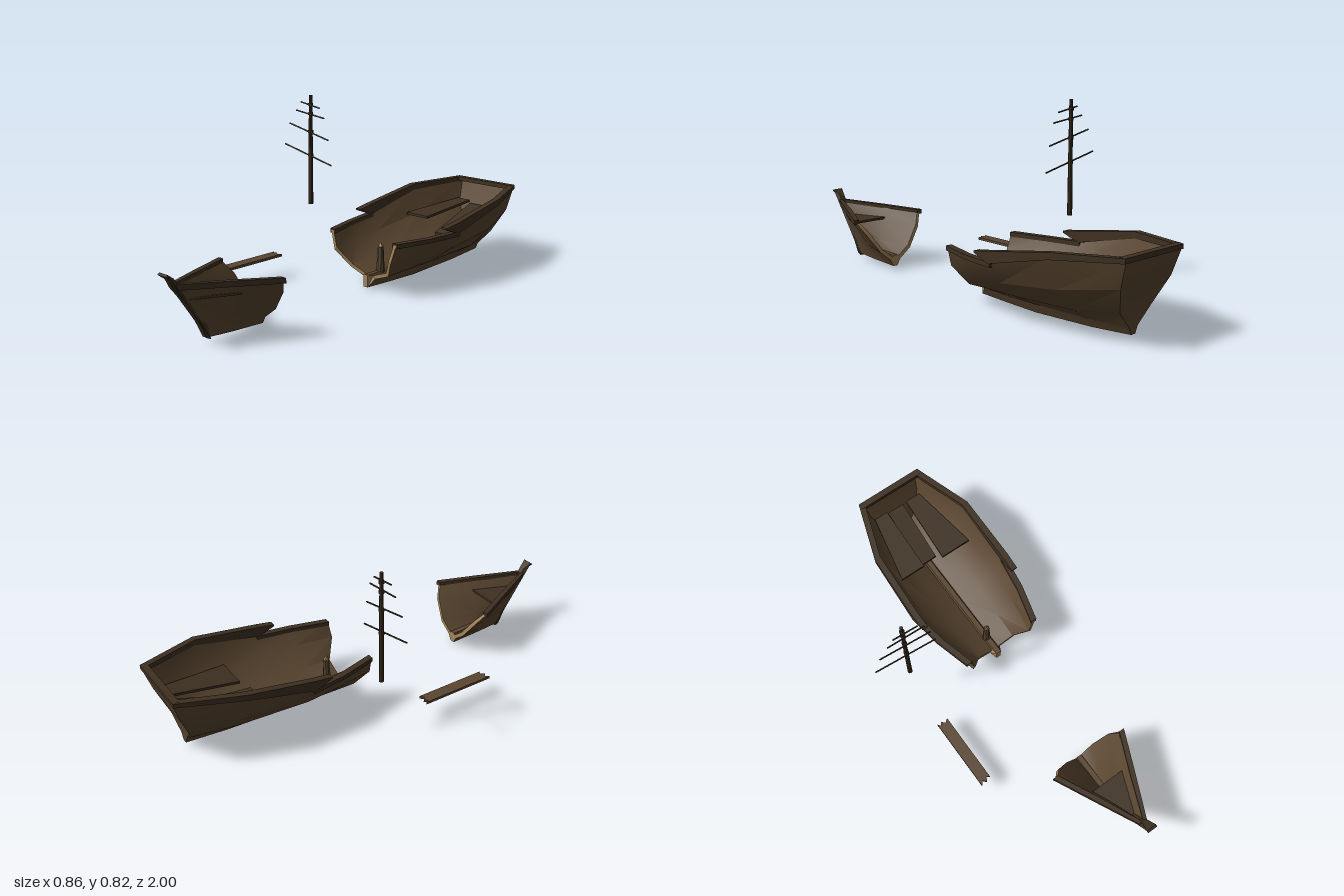
import * as THREE from 'three';
import { toCreasedNormals } from 'three/addons/utils/BufferGeometryUtils.js';

const CX = 0.157; // centreline of the wrecked hull
const mat = (color) => new THREE.MeshStandardMaterial({ color, side: THREE.DoubleSide });
const wood = mat(0x5a4630), dark = mat(0x3f3122), raw = mat(0xa5855a);

function add(parent, name, geo, material) {
  const mesh = new THREE.Mesh(toCreasedNormals(geo, 0.5), material);
  mesh.name = name;
  parent.add(mesh);
  return mesh;
}

// Geometry from a list of quads, each with four [x, y, z] corners
function quadGeo(quads) {
  const pos = [];
  for (const [a, b, c, d] of quads) pos.push(...a, ...b, ...c, ...a, ...c, ...d);
  const g = new THREE.BufferGeometry();
  g.setAttribute('position', new THREE.Float32BufferAttribute(pos, 3));
  return g;
}

// Skin consecutive sections; closed sections wrap around and get end caps if four-sided
function skin(sections, closed) {
  const quads = [];
  const n = sections[0].length;
  for (let s = 0; s + 1 < sections.length; s++) {
    const a = sections[s], b = sections[s + 1];
    for (let i = 0; i < (closed ? n : n - 1); i++) {
      const j = (i + 1) % n;
      quads.push([a[i], a[j], b[j], b[i]]);
    }
  }
  if (closed && n === 4) quads.push(sections[0].slice().reverse(), sections[sections.length - 1]);
  return quadGeo(quads);
}

// Half section rows [halfWidth, y, z], from rail down to keel, mirrored to a full section
const mirrorRows = (rows) => [
  ...rows.map(([h, y, z]) => [CX - h, y, z]),
  ...rows.slice().reverse().map(([h, y, z]) => [CX + h, y, z]),
];
const innerRows = (rows) => rows.map(([h, y, z], i) =>
  i === 0 ? [Math.max(h - 0.014, 0.004), y, z]
    : i === 4 ? [h, rows[3][1] + 0.022, z]
      : [Math.max(h - 0.012, 0.004), y + 0.014, z]);

// Shell with outer and inner planking, and raw timber on the broken end
function hullShell(parent, stations) {
  const outer = stations.map(mirrorRows);
  const inner = stations.map((r) => mirrorRows(innerRows(r)));
  add(parent, 'outerPlanking', skin(outer), wood);
  add(parent, 'innerPlanking', skin(inner.map((s) => s.slice().reverse())), wood);
  add(parent, 'brokenTimber', skin([outer[0], inner[0]]), raw);
  add(parent, 'sheerEdges', quadGeo([0, 9].flatMap((k) => outer.slice(1).map((o, s) =>
    [outer[s][k], o[k], inner[s + 1][k], inner[s][k]]))), wood);
}

// Rail pair from rows [halfWidth, bottom, top, z]
function rails(parent, name, rows, width) {
  for (const side of [-1, 1]) {
    add(parent, name, skin(rows.map(([h, b, t, z]) => {
      const o = CX + side * h, i = CX + side * Math.max(h - width, 0);
      return [[o, b, z], [o, t, z], [i, t, z], [i, b, z]];
    }), true), dark);
  }
}

// Flat board: outline of [x, z] points, height as a function of z
function board(parent, name, outline, thick, height, material) {
  const shape = new THREE.Shape(outline.map(([x, z]) => new THREE.Vector2(x, -z)));
  const g = new THREE.ExtrudeGeometry(shape, { depth: thick, bevelEnabled: false });
  g.rotateX(-Math.PI / 2);
  const p = g.attributes.position;
  for (let i = 0; i < p.count; i++) p.setY(i, p.getY(i) + height(p.getZ(i)));
  g.computeVertexNormals();
  return add(parent, name, g, material);
}

// Round bar between two points
function bar(parent, name, a, b, r0, r1, sides, material) {
  const va = new THREE.Vector3(...a), vb = new THREE.Vector3(...b);
  const d = vb.clone().sub(va);
  const mesh = add(parent, name, new THREE.CylinderGeometry(r1, r0, d.length(), sides), material);
  mesh.position.copy(va).add(vb).multiplyScalar(0.5);
  mesh.quaternion.setFromUnitVectors(new THREE.Vector3(0, 1, 0), d.normalize());
}

function sternWreck() {
  const g = new THREE.Group();
  g.name = 'sternWreck';
  const at = (z, rows) => rows.map(([h, y]) => [h, y, z]);
  const transom = [[0.16, 0.35, -1], [0.145, 0.24, -0.965], [0.09, 0.13, -0.92],
    [0.025, 0.06, -0.91], [0.012, 0.03, -0.91]];
  hullShell(g, [
    [[0.19, 0.245, -0.08], [0.165, 0.16, -0.075], [0.11, 0.08, -0.125], [0.03, 0.05, -0.13], [0.012, 0.015, -0.1]],
    at(-0.25, [[0.235, 0.245], [0.195, 0.163], [0.114, 0.086], [0.03, 0.046], [0.012, 0.009]]),
    at(-0.42, [[0.262, 0.25], [0.215, 0.165], [0.117, 0.09], [0.03, 0.045], [0.012, 0.004]]),
    at(-0.72, [[0.253, 0.335], [0.212, 0.2], [0.12, 0.105], [0.03, 0.05], [0.012, 0.015]]),
    transom,
  ]);
  add(g, 'transom', skin([transom.map(([h, y, z]) => [CX - h, y, z]),
    transom.map(([h, y, z]) => [CX + h, y, z])]), wood);
  rails(g, 'waistRail', [[0.197, 0.232, 0.252, -0.08], [0.243, 0.233, 0.252, -0.25],
    [0.269, 0.236, 0.256, -0.42]], 0.03);
  rails(g, 'quarterRail', [[0.268, 0.28, 0.288, -0.33], [0.271, 0.25, 0.3, -0.41],
    [0.262, 0.322, 0.35, -0.72], [0.166, 0.342, 0.362, -1]], 0.03);
  add(g, 'transomRail', new THREE.BoxGeometry(0.33, 0.02, 0.03), dark).position.set(CX, 0.352, -0.985);

  // Remains of the after deck
  const slope = (front, rise) => (z) => front + rise * (-z - 0.615);
  board(g, 'deckLeft', [[-0.035, -0.615], [0.09, -0.615], [0.1, -0.94], [0.03, -0.94]], 0.012, slope(0.22, 0.09), dark);
  board(g, 'deckRight', [[0.195, -0.615], [0.35, -0.615], [0.285, -0.94], [0.21, -0.94]], 0.012, slope(0.19, 0.15), dark);
  board(g, 'fallenDeckPlank', [[0.105, -0.66], [0.185, -0.66], [0.19, -0.94], [0.105, -0.94]], 0.012, slope(0.12, 0.35), dark);

  // Snapped mast foot
  bar(g, 'mastStump', [CX, 0.05, -0.2], [CX, 0.18, -0.2], 0.02, 0.013, 8, wood);
  bar(g, 'stumpSplinter', [CX, 0.18, -0.2], [CX - 0.004, 0.2, -0.2], 0.013, 0.004, 5, raw);
  return g;
}

function bowWreck() {
  const g = new THREE.Group();
  g.name = 'bowWreck';
  hullShell(g, [
    [[0.188, 0.245, 0.575], [0.15, 0.18, 0.54], [0.085, 0.09, 0.522], [0.028, 0.045, 0.525], [0.012, 0.015, 0.525]],
    [[0.105, 0.255, 0.75], [0.08, 0.18, 0.72], [0.042, 0.095, 0.69], [0.02, 0.048, 0.68], [0.012, 0.022, 0.68]],
    [[0.012, 0.262, 0.945], [0.012, 0.19, 0.89], [0.012, 0.1, 0.835], [0.012, 0.05, 0.81], [0.01, 0.03, 0.8]],
  ]);
  rails(g, 'bowRail', [[0.197, 0.232, 0.254, 0.57], [0.113, 0.242, 0.265, 0.75], [0.018, 0.252, 0.275, 0.95]], 0.026);
  board(g, 'foredeck', [[0.055, 0.71], [0.259, 0.71], [0.175, 0.89], [0.139, 0.89]], 0.01, () => 0.2, dark);

  // Curved stem post with a flared head
  const side = [[0.79, 0.02], [0.81, 0.03], [0.845, 0.1], [0.91, 0.2], [0.96, 0.262], [0.975, 0.295], [1, 0.315],
    [0.99, 0.322], [0.955, 0.298], [0.935, 0.262], [0.875, 0.19], [0.81, 0.09]];
  const stem = new THREE.ExtrudeGeometry(new THREE.Shape(side.map((p) => new THREE.Vector2(...p))),
    { depth: 0.026, bevelEnabled: false });
  stem.translate(0, 0, -0.013).rotateY(-Math.PI / 2);
  const p = stem.attributes.position;
  for (let i = 0; i < p.count; i++) if (p.getY(i) > 0.31) p.setX(i, p.getX(i) * 1.9);
  stem.computeVertexNormals();
  add(g, 'stemPost', stem, dark).position.x = CX;
  return g;
}

function floatingMast() {
  const g = new THREE.Group();
  g.name = 'floatingMast';
  const x = -0.273, z = -0.19;
  bar(g, 'lowerMast', [x, 0.307, z], [x, 0.56, z], 0.0115, 0.01, 8, dark);
  bar(g, 'upperMast', [x, 0.56, z], [x, 0.822, z], 0.01, 0.008, 8, dark);
  const yards = [[-0.433, 0.577, -0.13, 0.511], [-0.4, 0.679, -0.15, 0.626],
    [-0.355, 0.745, -0.175, 0.724], [-0.325, 0.787, -0.205, 0.768]];
  for (const [x0, y0, x1, y1] of yards) {
    bar(g, 'yard', [x0, y0, -0.179], [x1, y1, -0.179], 0.0035, 0.0035, 6, dark);
    const y = y0 + (y1 - y0) * (x - x0) / (x1 - x0);
    bar(g, 'yardCollar', [x, y - 0.006, z], [x, y + 0.006, z], 0.012, 0.012, 8, dark);
  }
  return g;
}

export function createModel() {
  const model = new THREE.Group();
  model.name = 'shipwreck';
  model.add(sternWreck(), bowWreck(), floatingMast());
  // Drifting plank with splintered ends
  board(model, 'driftingPlank', [[-0.291, 0.035], [-0.28, 0.05], [-0.27, 0.035], [-0.255, 0.05], [-0.237, 0.035],
    [-0.237, 0.375], [-0.25, 0.365], [-0.262, 0.385], [-0.275, 0.37], [-0.291, 0.388]], 0.012, () => 0.103, wood);
  return model;
}
